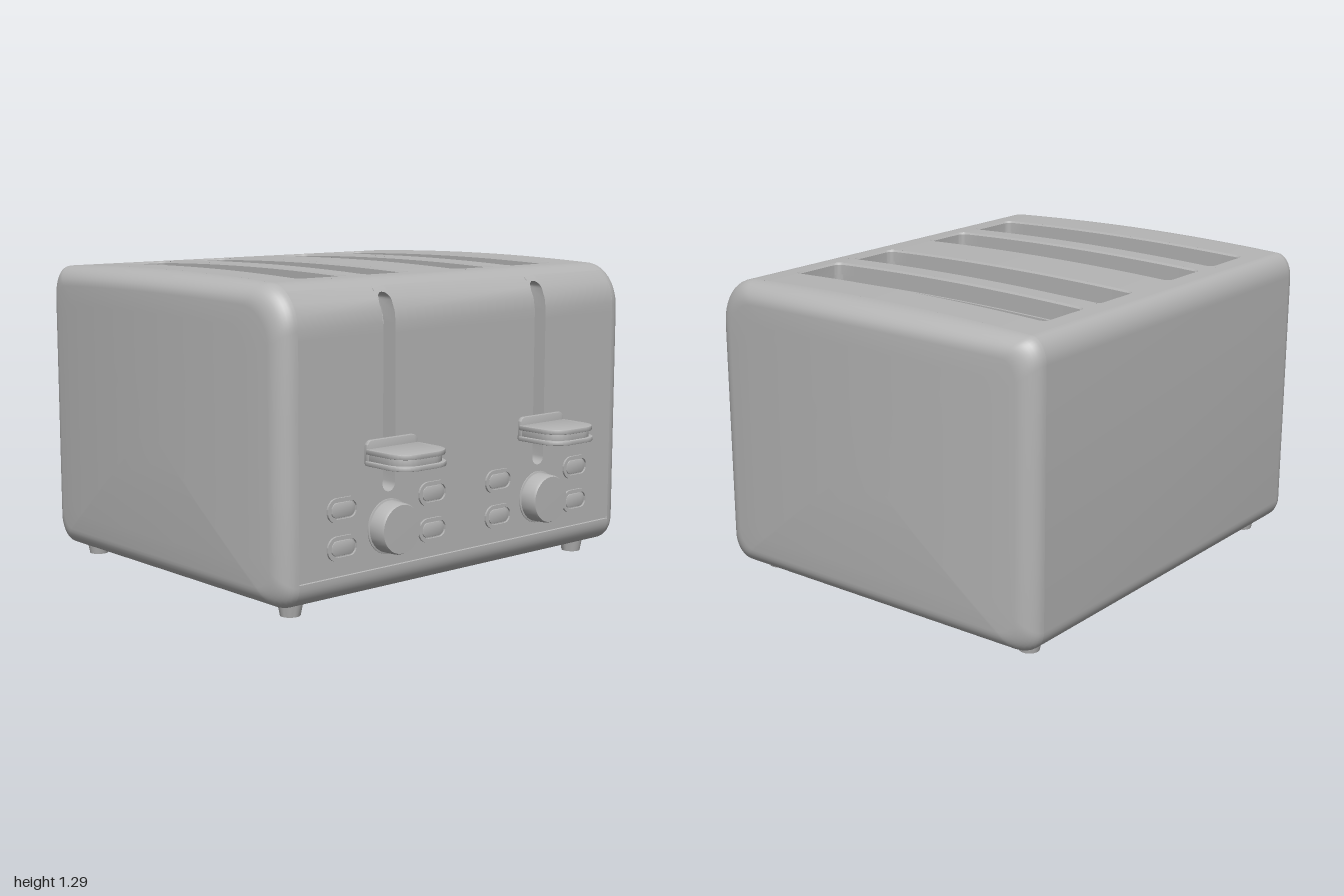
import * as THREE from 'three';
import { mergeGeometries, toCreasedNormals } from 'three/addons/utils/BufferGeometryUtils.js';

const grey = new THREE.MeshStandardMaterial({ color: 0xb4b4b4, side: THREE.DoubleSide });
grey.name = 'grey';

const SEAM = 0.88;
const topY = z => 1.288 - 0.034 * (z + 0.1) ** 2;
const frontZ = y => y <= 1.1 ? 0.69 : 0.53 + 0.16 * Math.sqrt(Math.max(0, 1 - ((y - 1.1) / 0.1745) ** 2));
const lerp = THREE.MathUtils.lerp;
const range = (n, a, b) => Array.from({ length: n + 1 }, (_, i) => lerp(a, b, i / n));

// Surface through rows of points; the face looks along (row direction) x (column direction)
function grid(nu, nv, fn) {
  const pos = [], idx = [];
  for (let i = 0; i <= nu; i++) for (let j = 0; j <= nv; j++) pos.push(...fn(i, j));
  for (let i = 0; i < nu; i++) for (let j = 0; j < nv; j++) {
    const a = i * (nv + 1) + j, b = a + nv + 1;
    idx.push(a, b, b + 1, a, b + 1, a + 1);
  }
  const g = new THREE.BufferGeometry();
  g.setAttribute('position', new THREE.Float32BufferAttribute(pos, 3));
  g.setIndex(idx);
  return g.toNonIndexed();
}

function mesh(name, geos, crease = 0.6) {
  const list = [].concat(geos);
  const g = list.length > 1 ? mergeGeometries(list) : list[0];
  const m = new THREE.Mesh(toCreasedNormals(g, crease), grey);
  m.name = name;
  return m;
}

// Curved panel with rounded cut-outs, each lined by a recessed well
function panel(u0, u1, holes, layers, map) {
  const surf = [], wells = [];
  const solid = (xa, xb) => surf.push(grid(1, 24, (i, j) => map(i ? xb : xa, lerp(u0, u1, j / 24), 0)));
  let x = -SEAM;
  for (const { x0, x1, a, b, r } of holes) {
    solid(x, x0);
    x = x1;
    const cuts = range(6, 0, Math.PI / 2).map(t => [r * (1 - Math.cos(t)), r * (1 - Math.sin(t))]);
    const ends = [...cuts.map(([d, o]) => [x0 + d, o]), ...cuts.slice().reverse().map(([d, o]) => [x1 - d, o])];
    const n = ends.length - 1;
    surf.push(grid(n, 4, (i, j) => map(ends[i][0], lerp(u0, a + ends[i][1], j / 4), 0)));
    surf.push(grid(n, 4, (i, j) => map(ends[i][0], lerp(b - ends[i][1], u1, j / 4), 0)));
    const side = range(16, a + r, b - r).slice(1, -1);
    const loop = [
      ...ends.map(([px, o]) => [px, a + o]), ...side.map(u => [x1, u]),
      ...ends.slice().reverse().map(([px, o]) => [px, b - o]), ...side.slice().reverse().map(u => [x0, u]),
    ];
    const cx = (x0 + x1) / 2, cu = (a + b) / 2, hw = (x1 - x0) / 2, hu = (b - a) / 2;
    wells.push(grid(loop.length, layers.length, (i, j) => {
      const [px, pu] = loop[i % loop.length];
      const [inset, depth] = layers[Math.min(j, layers.length - 1)];
      const floor = j === layers.length ? 0 : 1;
      return map(cx + (px - cx) * (1 - inset / hw) * floor, cu + (pu - cu) * (1 - inset / hu) * floor, depth);
    }));
  }
  solid(x, SEAM);
  return [...surf, ...wells];
}

// Points [z, y] of an elliptical corner, running from angle a to b
const arc = (z, y, rz, ry, a, b, n = 10) =>
  range(n, a, b).map(t => [z + rz * Math.cos(t), y + ry * Math.sin(t)]);
const H = Math.PI / 2;
const crown = arc(0.53, 1.1, 0.16, 0.1745, H, 0, 14);
const under = [...arc(0.6, 0.14, 0.09, 0.09, 0, -H), ...arc(-0.83, 0.14, 0.09, 0.09, -H, -2 * H)];
const rear = arc(-0.85, 1.17, 0.07, topY(-0.85) - 1.17, 2 * H, H);

// Wrapped skin between the two end caps, following a profile
const strip = pts => grid(1, pts.length - 1, (i, j) => [i ? -SEAM : SEAM, pts[j][1], pts[j][0]]);

// Bulging end cap; s is the side of the model
function cap(s) {
  const loop = [...crown, [0.69, 0.8], [0.69, 0.45], ...under, [-0.92, 0.45], [-0.92, 0.8], ...rear,
    ...range(18, -0.85, 0.53).slice(1, -1).map(z => [z, topY(z)])];
  if (s < 0) loop.reverse();
  const rings = [[-0.008, 0.012, 0, 1], [0, 0, 0, 1],
    ...range(9, 0, H).slice(1).map(t => [0, 0.08 * (1 - Math.cos(t)), Math.sin(t), 1]),
    ...[0.85, 0.65, 0.45, 0.2, 0].map(k => [0, 0.08, 1, k])];
  const cz = -0.115, cy = 0.66;
  return mesh(s > 0 ? 'leftEndCap' : 'rightEndCap', grid(loop.length, rings.length - 1, (i, j) => {
    const [pz, py] = loop[i % loop.length], [dx, inset, rise, k] = rings[j];
    const z = cz + (pz - cz) * (1 - inset / 0.805) * k;
    const y = cy + (py - cy) * (1 - inset / 0.61) * k;
    const out = 0.072 + 0.048 * (1 - ((z - cz) / 0.8) ** 2);
    return [s * (SEAM + dx + rise * out), y, z];
  }), 0.7);
}

// Rounded rectangle with separate radii for the lower and upper corners
function roundRect(w, h, rLow, rHigh, T = THREE.Shape) {
  const p = new T(), x = w / 2, y = h / 2;
  p.moveTo(-x + rLow, -y);
  p.lineTo(x - rLow, -y).absarc(x - rLow, -y + rLow, rLow, -H, 0);
  p.lineTo(x, y - rHigh).absarc(x - rHigh, y - rHigh, rHigh, 0, H);
  p.lineTo(-x + rHigh, y).absarc(-x + rHigh, y - rHigh, rHigh, H, 2 * H);
  p.lineTo(-x, -y + rLow).absarc(-x + rLow, -y + rLow, rLow, 2 * H, 3 * H);
  return p;
}
const extrude = (shape, depth, bevel = 0) => new THREE.ExtrudeGeometry(shape, {
  depth, bevelEnabled: bevel > 0, bevelSize: bevel, bevelThickness: bevel, bevelOffset: -bevel,
  bevelSegments: 2, curveSegments: 10,
});

function ovalButton(x, y) {
  const g = new THREE.Group();
  g.name = 'ovalButton';
  const ring = roundRect(0.16, 0.096, 0.047, 0.047);
  ring.holes.push(roundRect(0.128, 0.068, 0.033, 0.033, THREE.Path));
  g.add(mesh('buttonRing', extrude(ring, 0.012)));
  g.add(mesh('buttonFace', extrude(roundRect(0.118, 0.058, 0.028, 0.028), 0.006, 0.003)));
  g.position.set(x, y, 0.687);
  return g;
}

function controls(x) {
  const g = new THREE.Group();
  g.name = 'controlSet';
  // Lever: stacked plates with rounded front, upright lip and a stem into the slot
  const lever = new THREE.Group();
  lever.name = 'lever';
  for (const [y, w, h, len] of [[0.572, 0.274, 0.012, 0.22], [0.582, 0.25, 0.036, 0.208], [0.616, 0.268, 0.014, 0.217]]) {
    const plate = extrude(roundRect(w, len, 0.09, 0.01), h, 0.003);
    plate.rotateX(-H);
    plate.translate(0, y, 0.7 + len / 2);
    lever.add(mesh('leverPlate', plate));
  }
  const lip = extrude(roundRect(0.262, 0.095, 0.006, 0.025), 0.014, 0.003);
  lip.translate(0, 0.6185, 0.697);
  lever.add(mesh('leverLip', lip));
  const stem = new THREE.BoxGeometry(0.045, 0.05, 0.08);
  stem.translate(0, 0.605, 0.67);
  lever.add(mesh('leverStem', stem));
  g.add(lever);
  // Browning knob
  const profile = [[0.11, 0], [0.11, 0.006], [0.103, 0.008], [0.101, 0.07], [0.096, 0.08], [0, 0.081]];
  const knob = new THREE.LatheGeometry(profile.map(p => new THREE.Vector2(...p)), 40);
  knob.rotateX(H);
  knob.translate(0, 0.312, 0.688);
  g.add(mesh('knob', knob));
  for (const dx of [-0.237, 0.237]) for (const y of [0.412, 0.264]) g.add(ovalButton(dx, y));
  g.position.x = x;
  return g;
}

export function createModel() {
  const model = new THREE.Group();
  model.name = 'toaster';

  // Top deck with four bread slots
  const slots = [[-0.715, -0.455], [-0.37, -0.125], [0.12, 0.365], [0.45, 0.71]]
    .map(([x0, x1]) => ({ x0, x1, a: -0.487, b: 0.785, r: 0.03 }));
  const slotLayers = [[0, 0], [0.006, 0.008], [0.006, 0.05], [-0.008, 0.05], [-0.008, 0.08], [0.004, 0.08], [0.004, 0.95]];
  model.add(mesh('topDeck', panel(-0.53, 0.85, slots, slotLayers, (x, u, d) => [x, topY(-u) - d, -u])));

  // Front panel with two lever slots
  const tracks = [-0.43, 0.42].map(c => ({ x0: c - 0.033, x1: c + 0.033, a: 0.45, b: 1.222, r: 0.0325 }));
  model.add(mesh('frontPanel', panel(0.16, 1.245, tracks, [[0, 0], [0, 0.07]], (x, y, d) => [x, y, frontZ(y) - d])));

  // Front crown, then base and back in one sweep
  const crownTop = [...crown.filter(p => p[1] > 1.246), [frontZ(1.245), 1.245]];
  model.add(mesh('frontCrown', strip(crownTop)));
  model.add(mesh('baseAndBack', strip([[0.69, 0.16], [0.683, 0.158], [0.683, 0.152], [0.69, 0.15], ...under, ...rear])));

  model.add(cap(1), cap(-1));
  model.add(controls(-0.43), controls(0.42));

  // Feet
  for (const x of [-0.82, 0.79]) for (const z of [0.56, -0.785]) {
    const foot = new THREE.CylinderGeometry(0.054, 0.04, 0.07, 24);
    foot.translate(x, 0.035, z);
    model.add(mesh('foot', foot));
  }
  return model;
}
